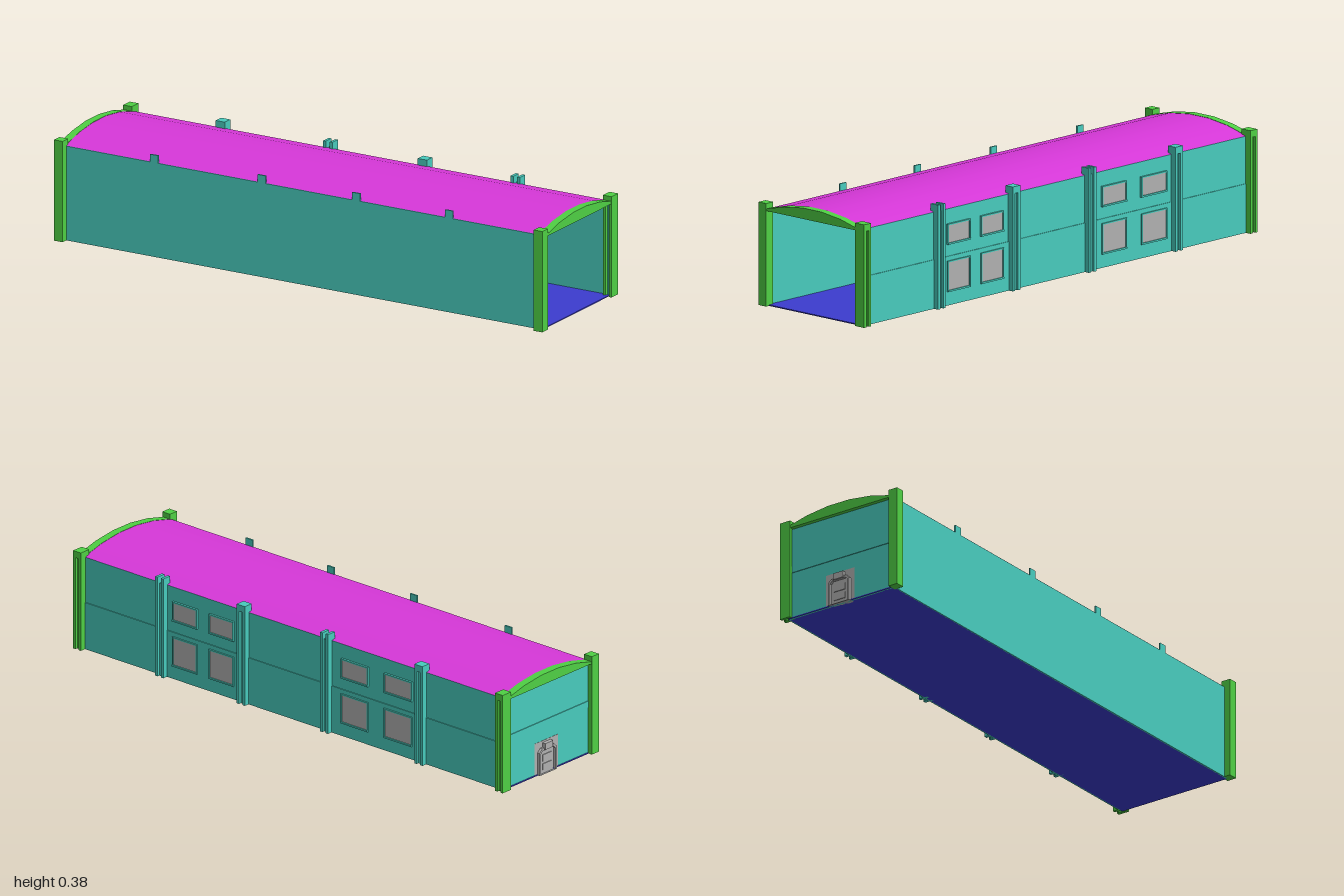
import * as THREE from 'three';

const material = (name, color) => {
  const m = new THREE.MeshStandardMaterial({ color, side: THREE.DoubleSide });
  m.name = name;
  return m;
};

export function createModel() {
  const model = new THREE.Group();
  model.name = 'hall';
  const teal = material('teal wall', 0x48cbbd);
  const green = material('green trim', 0x4fd044);
  const magenta = material('magenta roof', 0xd838da);
  const blue = material('blue floor', 0x3c3ccf);
  const grey = material('grey openings', 0xb0b0b0);

  const add = (name, geometry, mat, parent = model) => {
    const mesh = new THREE.Mesh(geometry, mat);
    mesh.name = name;
    parent.add(mesh);
    return mesh;
  };
  // Box given by its minimum and maximum on each axis
  const box = (name, mat, [x0, x1], [y0, y1], [z0, z1], parent) => {
    const g = new THREE.BoxGeometry(x1 - x0, y1 - y0, z1 - z0);
    g.translate((x0 + x1) / 2, (y0 + y1) / 2, (z0 + z1) / 2);
    return add(name, g, mat, parent);
  };
  // Turns a shape drawn in (z, y) into a slab between x0 and x1
  const slab = (name, mat, shape, x0, x1, parent) => {
    const g = new THREE.ExtrudeGeometry(shape, { depth: x1 - x0, bevelEnabled: false });
    g.rotateY(-Math.PI / 2);
    g.translate(x1, 0, 0);
    return add(name, g, mat, parent);
  };
  const polygon = (points) => new THREE.Shape(points.map(([z, y]) => new THREE.Vector2(z, y)));

  // Floor and the two long walls
  box('floor', blue, [-0.985, 0.985], [0, 0.004], [-0.226, 0.226]);
  box('frontWall', teal, [-0.98, 0.98], [0, 0.346], [0.224, 0.23]);
  box('backWallLower', teal, [-0.98, 0.98], [0, 0.176], [-0.231, -0.222]);
  box('backWallUpper', teal, [-0.98, 0.98], [0.176, 0.346], [-0.228, -0.222]);

  // Shallow vaulted roof
  const roofY = (z) => 0.3825 - 0.0355 * (z / 0.229) ** 2;
  const roof = new THREE.PlaneGeometry(1.94, 0.458, 1, 5);
  roof.rotateX(-Math.PI / 2);
  const pos = roof.attributes.position;
  for (let i = 0; i < pos.count; i++) pos.setY(i, roofY(pos.getZ(i)));
  roof.computeVertexNormals();
  add('roof', roof, magenta);

  // Arched gable at each end
  const gable = [[-0.228, 0.343]];
  for (let i = 0; i <= 5; i++) {
    const z = -0.228 + i * 0.0912;
    gable.push([z, roofY(z) + 0.001]);
  }
  gable.push([0.228, 0.343]);
  slab('leftGable', green, polygon(gable), 0.968, 0.998);
  slab('rightGable', green, polygon(gable), -0.998, -0.968);

  // Upright post with a groove down its outer (back) face
  const groovedPost = (name, mat, x, width, height, z0, z1, capped) => {
    const post = new THREE.Group();
    post.name = name;
    const h = width / 2, fin = width * 0.3;
    box('leftFin', mat, [x + h - fin, x + h], [0, height], [z0, z1], post);
    box('rightFin', mat, [x - h, x - h + fin], [0, height], [z0, z1], post);
    box('web', mat, [x - h + fin, x + h - fin], [0, height - 0.025], [z0 + 0.01, z0 + 0.016], post);
    if (capped) box('cap', mat, [x - h, x + h], [height - 0.025, height], [z0, z1], post);
    model.add(post);
  };

  // Corner posts
  for (const x of [-0.982, 0.982]) {
    box('frontCornerPost', green, [x - 0.018, x + 0.018], [0, 0.37], [0.218, 0.255]);
    groovedPost('backCornerPost', green, x, 0.036, 0.37, -0.253, -0.209, true);
  }

  // Back pilasters, with matching tabs on the front wall
  [[-0.605, true], [-0.165, false], [0.222, true], [0.602, false]].forEach(([x, capped]) => {
    groovedPost('backPilaster', teal, x, 0.038, 0.375, -0.25, -0.214, capped);
    box('frontTab', teal, [x - 0.016, x + 0.016], [0.34, 0.374], [0.224, 0.23]);
  });

  // Back windows in two storeys
  const pane = (x0, x1, y0, y1) => {
    const w = new THREE.Group();
    w.name = 'window';
    box('pane', grey, [x0, x1], [y0, y1], [-0.233, -0.22], w);
    box('sill', teal, [x0 - 0.005, x1 + 0.005], [y0 - 0.006, y0], [-0.237, -0.228], w);
    box('head', teal, [x0 - 0.005, x1 + 0.005], [y1, y1 + 0.005], [-0.236, -0.228], w);
    for (const x of [x0 - 0.005, x1]) box('jamb', teal, [x, x + 0.005], [y0, y1], [-0.236, -0.228], w);
    model.add(w);
  };
  for (const [x0, x1] of [[-0.555, -0.435], [-0.35, -0.235], [0.275, 0.38], [0.445, 0.55]]) {
    pane(x0, x1, 0.055, 0.155);
    pane(x0, x1, 0.225, 0.288);
  }

  // End wall with a doorway and a belt band
  const endShape = polygon([[-0.226, 0], [-0.226, 0.344], [0.226, 0.344], [0.226, 0]]);
  endShape.holes.push(polygon([[-0.065, 0.0005], [0.058, 0.0005], [0.058, 0.123], [-0.065, 0.123]]));
  slab('endWall', teal, endShape, -0.982, -0.976);
  box('beltBand', teal, [-0.985, -0.973], [0.175, 0.199], [-0.224, 0.224]);

  // Door: surround, chamfered frame, leaf and raised panels on both faces
  const door = new THREE.Group();
  door.name = 'door';
  model.add(door);
  box('surround', grey, [-0.983, -0.975], [0, 0.123], [-0.065, 0.058], door);
  const c = -0.0035;
  const archPoints = (w, h, cut) => [[c - w, 0], [c - w, h - cut], [c - w + cut, h], [c + w - cut, h], [c + w, h - cut], [c + w, 0]];
  const frame = polygon(archPoints(0.046, 0.099, 0.014));
  frame.holes.push(polygon(archPoints(0.038, 0.091, 0.01).map(([z, y]) => [z, Math.max(y, 0.001)])));
  slab('frame', grey, frame, -0.993, -0.966, door);
  slab('leaf', grey, polygon(archPoints(0.033, 0.086, 0.008)), -0.986, -0.972, door);
  box('lintel', grey, [-0.997, -0.963], [0.092, 0.116], [c - 0.021, c + 0.021], door);
  for (const [y0, y1] of [[0.015, 0.038], [0.048, 0.072]]) {
    box('panel', grey, [-0.989, -0.969], [y0, y1], [c - 0.024, c + 0.024], door);
  }
  return model;
}
